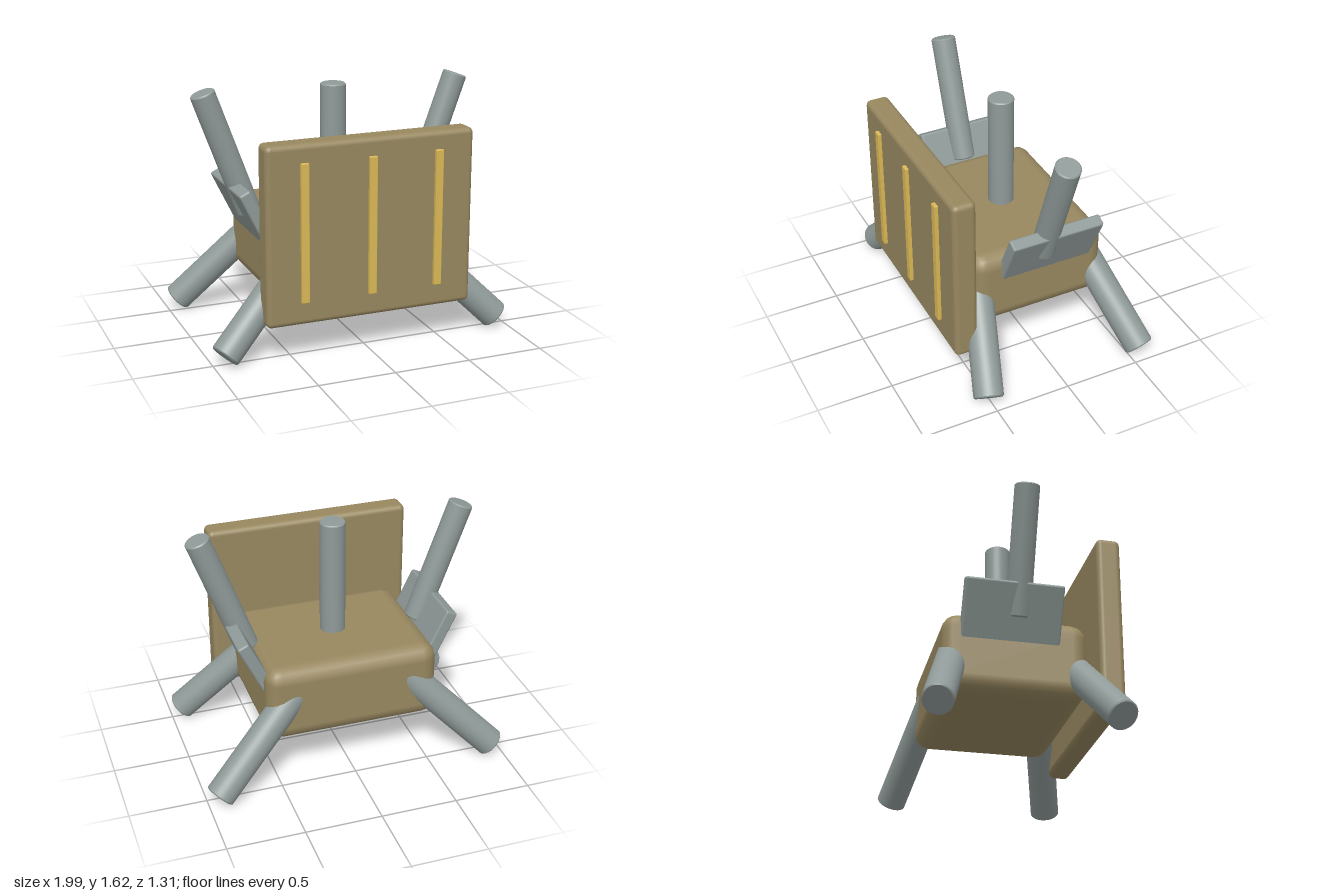
import * as THREE from 'three';
import { RoundedBoxGeometry } from 'three/addons/geometries/RoundedBoxGeometry.js';
import { toCreasedNormals } from 'three/addons/utils/BufferGeometryUtils.js';

export function createModel() {
  const group = new THREE.Group();
  const brown = new THREE.MeshStandardMaterial({ color: 0x988860 });
  const steel = new THREE.MeshStandardMaterial({ color: 0x8f9a98 });
  const gold = new THREE.MeshStandardMaterial({ color: 0xdcb956 });
  const midZ = -0.02;

  function add(name, geometry, material, x = 0, y = 0, z = 0) {
    const mesh = new THREE.Mesh(geometry, material);
    mesh.name = name;
    mesh.position.set(x, y, z);
    group.add(mesh);
    return mesh;
  }

  // Round bar between two points, with slightly eased rims
  function bar(name, from, to, radius) {
    const a = new THREE.Vector3(...from);
    const b = new THREE.Vector3(...to);
    const length = a.distanceTo(b);
    const e = 0.008;
    const profile = [
      [0, 0], [radius - e, 0], [radius, e],
      [radius, length - e], [radius - e, length], [0, length],
    ].map(([r, h]) => new THREE.Vector2(r, h));
    const geometry = toCreasedNormals(new THREE.LatheGeometry(profile, 32), 0.6);
    const mesh = add(name, geometry, steel, ...from);
    mesh.quaternion.setFromUnitVectors(new THREE.Vector3(0, 1, 0), b.sub(a).normalize());
    return mesh;
  }

  // Main body and the post on top
  add('body', new RoundedBoxGeometry(1.14, 0.515, 0.915, 2, 0.1), brown, 0, 0.575, midZ);
  bar('topPost', [0, 0.72, midZ], [0, 1.597, midZ], 0.083);

  // Front shield with its vertical strips
  add('shield', new RoundedBoxGeometry(1.37, 1.145, 0.155, 3, 0.035), brown, 0, 0.8125, 0.552);
  for (const x of [-0.443, 0, 0.443]) {
    add('shieldStrip', new RoundedBoxGeometry(0.052, 0.88, 0.04, 1, 0.005), gold, x, 0.83, 0.633);
  }

  for (const [label, s] of [['left', 1], ['right', -1]]) {
    // Eye on the front of the body
    add(label + 'Eye', new THREE.SphereGeometry(0.05, 20, 14), gold, s * 0.15, 0.56, 0.41);

    // Outward-leaning shoulder plate and raised arm
    const plate = add(label + 'ShoulderPlate',
      new RoundedBoxGeometry(0.08, 0.4, 0.625, 2, 0.014), steel, s * 0.607, 0.822, -0.06);
    plate.rotation.z = -s * 0.45;
    bar(label + 'Arm', [s * 0.583, 0.807, midZ], [s * 0.871, 1.597, midZ], 0.08);

    // Splayed legs
    for (const [end, f] of [['Front', 1], ['Back', -1]]) {
      bar(label + end + 'Leg',
        [s * 0.36, 0.638, midZ + f * 0.36], [s * 0.93, 0.068, midZ + f * 0.545], 0.096);
    }
  }
  return group;
}
